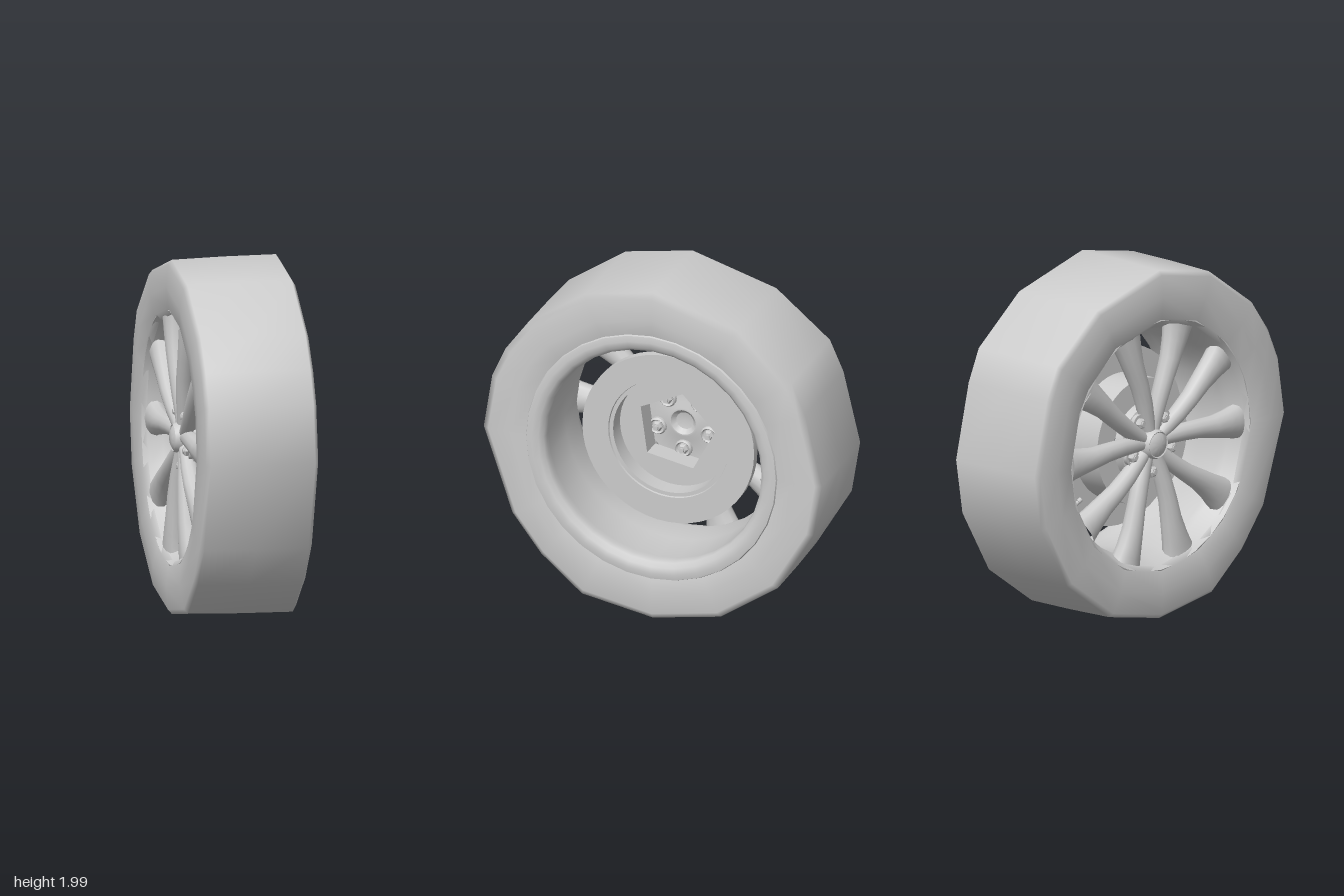
import * as THREE from 'three';
import { mergeVertices, toCreasedNormals } from 'three/addons/utils/BufferGeometryUtils.js';

const grey = new THREE.MeshStandardMaterial({ color: 0xcccccc });
const rad = THREE.MathUtils.degToRad;

function add(parent, geometry, name) {
  const mesh = new THREE.Mesh(geometry, grey);
  mesh.name = name;
  parent.add(mesh);
  return mesh;
}

// Turned part around the x axis; points are [x, radius]
function turned(points, segments, crease = 0.6) {
  const profile = points.map(([x, r]) => new THREE.Vector2(r, x));
  const g = new THREE.LatheGeometry(profile, segments).rotateZ(-Math.PI / 2);
  return toCreasedNormals(g, crease);
}

// Tyre: a turned profile whose outline is an uneven polygon
function tyreGeometry() {
  const outline = [ // [z, y] around the axle
    [0, 1], [-0.5, 0.86], [-0.82, 0.6], [-0.9, 0.42], [-1, 0], [-0.95, -0.31],
    [-0.74, -0.67], [-0.4, -0.91], [0, -0.99], [0.42, -0.92], [0.66, -0.72],
    [0.83, -0.5], [1, 0], [0.95, 0.32], [0.87, 0.5], [0.74, 0.68], [0.4, 0.92],
  ];
  const profile = [[-0.28, 0.69], [-0.31, 0.72], [-0.322, 0.84], [-0.312, 0.965], [-0.29, 0.99],
    [0, 0.998], [0.295, 1], [0.318, 0.965], [0.318, 0.84], [0.312, 0.74], [0.28, 0.69]];
  const n = outline.length, m = profile.length;
  const g = new THREE.LatheGeometry(profile.map(([x, r]) => new THREE.Vector2(r, x)), n);
  const pos = g.attributes.position;
  for (let i = 0; i <= n; i++) {
    const [z, y] = outline[(n - i) % n];
    const R = Math.hypot(z, y);
    for (let j = 0; j < m; j++) {
      const [x, base] = profile[j];
      const r = base + (R - 1) * (base - 0.69) / 0.31;
      pos.setXYZ(i * m + j, x, r * y / R, r * z / R);
    }
  }
  g.deleteAttribute('uv');
  g.deleteAttribute('normal');
  const welded = mergeVertices(g);
  welded.computeVertexNormals();
  return welded;
}

// Spoke: rounded sections, flaring to the rim and leaning to its partner at the hub
function spokeGeometry(pairAngle, side) {
  const sections = [ // radius, half width, outer x, inner x
    [0.04, 0.03, -0.262, -0.18], [0.13, 0.045, -0.268, -0.18], [0.24, 0.05, -0.28, -0.18],
    [0.36, 0.054, -0.288, -0.18], [0.48, 0.064, -0.292, -0.175],
    [0.58, 0.08, -0.294, -0.17], [0.64, 0.094, -0.294, -0.165], [0.675, 0.105, -0.294, -0.16],
  ];
  const sides = 12, verts = [], index = [];
  sections.forEach(([r, w, front, back], i) => {
    const lean = Math.min(1, 0.55 + r * 0.9);
    const a = rad(pairAngle + side * 18 * lean);
    for (let j = 0; j < sides; j++) {
      const t = j / sides * Math.PI * 2;
      const s = w * Math.cos(t);
      const x = (front + back) / 2 + (back - front) / 2 * Math.sin(t);
      verts.push(x, r * Math.sin(a) + s * Math.cos(a), -(r * Math.cos(a) - s * Math.sin(a)));
      if (i < sections.length - 1) {
        const p = i * sides + j, q = i * sides + (j + 1) % sides;
        index.push(p, q, p + sides, q, q + sides, p + sides);
      }
    }
  });
  const g = new THREE.BufferGeometry();
  g.setAttribute('position', new THREE.Float32BufferAttribute(verts, 3));
  g.setIndex(index);
  g.computeVertexNormals();
  return g;
}

// Hat floor with a five-sided opening
function hatFloorGeometry() {
  const shape = new THREE.Shape().absarc(0, 0, 0.335, 0, Math.PI * 2);
  const hole = new THREE.Path();
  for (let i = 0; i < 5; i++) {
    const a = rad(80 + i * 72);
    hole[i ? 'lineTo' : 'moveTo'](0.235 * Math.cos(a), 0.235 * Math.sin(a));
  }
  hole.closePath();
  shape.holes.push(hole);
  return new THREE.ExtrudeGeometry(shape, { depth: 0.12, bevelEnabled: false, curveSegments: 24 })
    .rotateY(Math.PI / 2).translate(-0.16, 0, 0);
}

export function createModel() {
  const model = new THREE.Group();
  model.name = 'wheel';
  const wheel = new THREE.Group();
  wheel.name = 'wheelAssembly';
  wheel.position.y = 1;
  model.add(wheel);

  add(wheel, tyreGeometry(), 'tyre');

  // Rim barrel with its rolled inboard lip
  add(wheel, turned([[-0.305, 0.705], [-0.3, 0.722], [-0.27, 0.715], [-0.2, 0.68], [0.22, 0.68],
    [0.28, 0.73], [0.305, 0.746], [0.322, 0.738], [0.328, 0.705], [0.322, 0.668], [0.3, 0.645],
    [0.27, 0.636], [0.22, 0.648], [0, 0.64], [-0.16, 0.635], [-0.2, 0.645], [-0.27, 0.68],
    [-0.305, 0.705]], 32, 0.9), 'rim');

  // Ten spokes in five pairs
  const spokes = new THREE.Group();
  spokes.name = 'spokes';
  wheel.add(spokes);
  for (let i = 0; i < 5; i++)
    for (const side of [-1, 1]) add(spokes, spokeGeometry(-54 + i * 72, side), 'spoke');

  // Hub, centre cap and the inner bore
  add(wheel, turned([[-0.225, 0], [-0.225, 0.17], [-0.21, 0.215], [-0.165, 0.225],
    [-0.165, 0.12], [-0.15, 0.085], [-0.15, 0.074], [-0.175, 0.05], [-0.185, 0]], 30), 'hub');
  add(wheel, turned([[-0.3, 0], [-0.297, 0.04], [-0.286, 0.062], [-0.282, 0.068],
    [-0.286, 0.074], [-0.27, 0.082], [-0.22, 0.09]], 24), 'centreCap');

  // Lug nuts, showing on both faces of the hub
  for (let i = 0; i < 5; i++) {
    const a = rad(-90 + i * 72);
    const nut = new THREE.Group();
    nut.name = 'lugNut';
    nut.position.set(0, 0.16 * Math.sin(a), -0.16 * Math.cos(a));
    wheel.add(nut);
    add(nut, turned([[-0.235, 0.034], [-0.235, 0.05], [-0.15, 0.05], [-0.14, 0.042],
      [-0.15, 0.034]], 16), 'nutSeat');
    add(nut, turned([[-0.258, 0], [-0.258, 0.02], [-0.25, 0.03], [-0.145, 0.03],
      [-0.13, 0.022], [-0.13, 0]], 6, 0.3), 'nutBody');
    add(nut, turned([[-0.265, 0], [-0.265, 0.014], [-0.115, 0.014], [-0.115, 0]], 10), 'stud');
  }

  // Brake disc with its recessed hat
  add(wheel, turned([[0.02, 0.355], [0.02, 0.508], [0.07, 0.508], [0.07, 0.355], [0.06, 0.352],
    [0.06, 0.33], [-0.05, 0.33], [-0.16, 0.33], [-0.16, 0.355], [0.02, 0.355]], 48), 'brakeDisc');
  add(wheel, hatFloorGeometry(), 'discHat');

  // Valve stem on the barrel
  const valve = new THREE.Group();
  valve.name = 'valve';
  valve.rotation.x = rad(-90 - 28);
  wheel.add(valve);
  add(valve, new THREE.CylinderGeometry(0.018, 0.01, 0.09, 10).translate(-0.14, 0.59, 0), 'valveStem');
  add(valve, new THREE.CylinderGeometry(0.014, 0.014, 0.025, 10).translate(-0.14, 0.54, 0), 'valveCap');

  return model;
}
